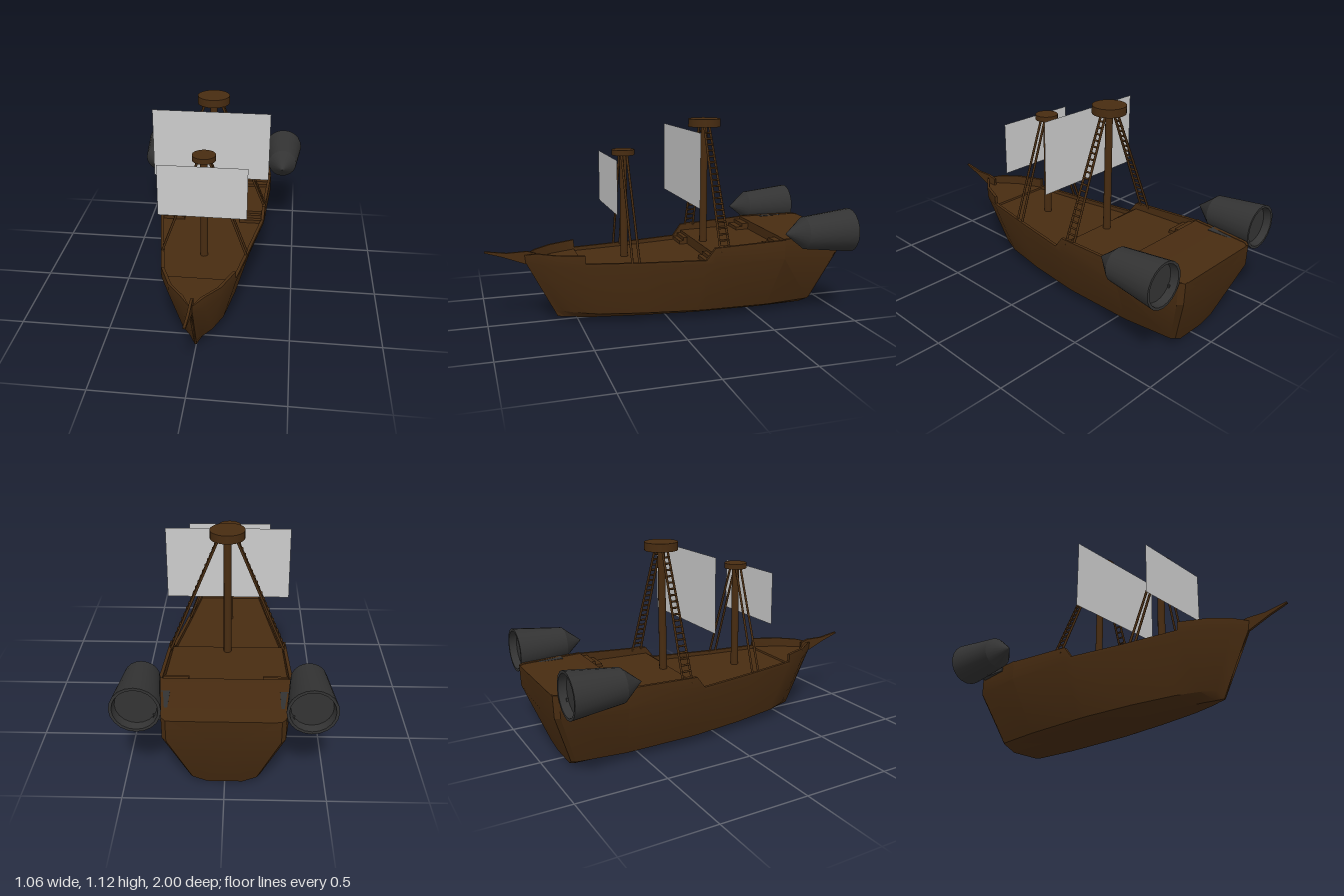
import * as THREE from 'three';
import { toCreasedNormals } from 'three/addons/utils/BufferGeometryUtils.js';

const wood = new THREE.MeshStandardMaterial({ color: 0x482c11 });
const metal = new THREE.MeshStandardMaterial({ color: 0x333333, side: THREE.DoubleSide });
const cloth = new THREE.MeshStandardMaterial({ color: 0xcccccc, side: THREE.DoubleSide });

function add(parent, name, geometry, material, x = 0, y = 0, z = 0) {
  const mesh = new THREE.Mesh(geometry, material);
  mesh.name = name;
  mesh.position.set(x, y, z);
  parent.add(mesh);
  return mesh;
}

// Thin round bar between two points
function bar(parent, name, from, to, radius) {
  const a = new THREE.Vector3(...from), b = new THREE.Vector3(...to);
  const dir = b.clone().sub(a);
  const mesh = add(parent, name, new THREE.CylinderGeometry(radius, radius, dir.length(), 6), wood);
  mesh.position.copy(a).add(b).multiplyScalar(0.5);
  mesh.quaternion.setFromUnitVectors(new THREE.Vector3(0, 1, 0), dir.normalize());
}

// Hull stations: z at rail, z at keel, half widths (rail, bilge, keel), keel y, rail y, deck y
const stations = [
  [-1.0, -0.87, 0.27, 0.16, 0.09, 0.003, 0.47, 0.467],
  [-0.975, -0.85, 0.292, 0.175, 0.1, 0.002, 0.47, 0.467],
  [-0.63, -0.58, 0.34, 0.205, 0.11, 0, 0.462, 0.459],
  [-0.63, -0.58, 0.34, 0.205, 0.11, 0, 0.458, 0.405],
  [-0.22, -0.2, 0.32, 0.207, 0.11, 0.004, 0.437, 0.4],
  [-0.22, -0.2, 0.32, 0.207, 0.11, 0.004, 0.437, 0.345],
  [-0.17, -0.15, 0.316, 0.205, 0.11, 0.005, 0.37, 0.345],
  [0.16, 0.14, 0.257, 0.175, 0.09, 0.01, 0.367, 0.345],
  [0.48, 0.38, 0.2, 0.13, 0.06, 0.014, 0.37, 0.35],
  [0.48, 0.38, 0.2, 0.13, 0.06, 0.014, 0.415, 0.36],
  [0.63, 0.5, 0.137, 0.08, 0.035, 0.018, 0.412, 0.36],
  [0.72, 0.56, 0.063, 0.035, 0.016, 0.02, 0.41, 0.36],
  [0.785, 0.6, 0.008, 0.006, 0.005, 0.022, 0.395, 0.36],
];

function hullGeometry() {
  const pos = [], idx = [], n = 12;
  for (const [zTop, zBot, w, bilge, keel, keelY, rail, deck] of stations) {
    const inner = Math.max(w - 0.018, w * 0.5);
    const half = [[inner, deck], [inner, rail], [w, rail], [w, 0.35], [bilge, keelY + 0.042], [keel, keelY]];
    const ring = [...half, ...half.map(([x, y]) => [-x, y]).reverse()];
    for (const [x, y] of ring) pos.push(x, y, THREE.MathUtils.lerp(zBot, zTop, Math.min(1, y / 0.36)));
  }
  for (let i = 0; i < stations.length - 1; i++) {
    for (let j = 0; j < n; j++) {
      const a = i * n + j, b = i * n + (j + 1) % n, c = a + n, d = b + n;
      idx.push(a, c, b, b, c, d);
    }
  }
  // Transom and stem caps, fanned from a middle point
  const last = (stations.length - 1) * n, mid = pos.length / 3;
  pos.push(0, 0.3, -0.98, 0, 0.2, 0.692);
  for (let j = 0; j < n; j++) {
    const k = (j + 1) % n;
    idx.push(mid, j, k, mid + 1, last + k, last + j);
  }
  const geo = new THREE.BufferGeometry();
  geo.setAttribute('position', new THREE.Float32BufferAttribute(pos, 3));
  geo.setIndex(idx);
  return toCreasedNormals(geo, 0.45);
}

// Mast with its round top platform and a flat sail held in front of it
function rig(parent, name, m) {
  const g = new THREE.Group();
  g.name = name;
  parent.add(g);
  add(g, 'mast', new THREE.CylinderGeometry(0.02, 0.022, m.top - 0.34, 12), wood, 0, (m.top + 0.34) / 2, m.z);
  add(g, 'lookout', new THREE.CylinderGeometry(m.nest, m.nest, m.nestH, 24), wood, 0, m.top + m.nestH / 2, m.z);
  add(g, 'sail', new THREE.PlaneGeometry(m.sailW * 2, m.sailTop - m.sailLow), cloth, 0, (m.sailTop + m.sailLow) / 2, m.sailZ);
  for (const s of [1, -1]) {
    const ends = m.feet.map((z, i) => [[s * m.footX, m.footY, z], [s * m.headX, m.top, m.z + (i ? -0.015 : 0.015)]]);
    for (const [foot, head] of ends) bar(g, 'shroud', foot, head, 0.007);
    // Ladder rungs across the pair of shrouds
    for (let i = 1; i <= m.rungs; i++) {
      const t = i / (m.rungs + 1);
      const [p, q] = ends.map(([f, h]) => f.map((v, k) => v + (h[k] - v) * t));
      p[0] += s * 0.005;
      q[0] += s * 0.005;
      bar(g, 'rung', p, q, 0.006);
    }
  }
}

export function createModel() {
  const ship = new THREE.Group();
  ship.name = 'ship';
  add(ship, 'hull', hullGeometry(), wood);

  // Bowsprit: tapered blade
  const blade = new THREE.Shape([[0.72, 0.34], [0.785, 0.345], [0.9, 0.39], [1, 0.422], [1, 0.43], [0.88, 0.412], [0.77, 0.415], [0.72, 0.40]]
    .map(([x, y]) => new THREE.Vector2(x, y)));
  const sprit = new THREE.ExtrudeGeometry(blade, { depth: 0.014, bevelEnabled: false });
  sprit.rotateY(-Math.PI / 2).translate(0.007, 0, 0);
  add(ship, 'bowsprit', sprit, wood);

  rig(ship, 'mainRig', {
    z: -0.26, top: 1.075, nest: 0.092, nestH: 0.045, sailW: 0.335, sailLow: 0.665, sailTop: 1.07, sailZ: -0.12,
    feet: [-0.25, -0.305], footX: 0.318, footY: 0.41, headX: 0.045, rungs: 20,
  });
  rig(ship, 'foreRig', {
    z: 0.22, top: 0.93, nest: 0.064, nestH: 0.03, sailW: 0.24, sailLow: 0.635, sailTop: 0.93, sailZ: 0.31,
    feet: [0.23, 0.19], footX: 0.238, footY: 0.36, headX: 0.03, rungs: 0,
  });

  // Engine: cone nose, flared body, recessed exhaust
  const profile = [[0, 0.39], [0.09, 0.28], [0.122, 0], [0.108, 0], [0.1, 0.04], [0, 0.04]]
    .map(([r, h]) => new THREE.Vector2(r, h)).reverse();
  const engine = toCreasedNormals(new THREE.LatheGeometry(profile, 20).rotateX(Math.PI / 2), 0.5);

  for (const s of [1, -1]) {
    add(ship, 'engine', engine, metal, s * 0.41, 0.512, -0.98);
    add(ship, 'engineBracket', new THREE.BoxGeometry(0.06, 0.03, 0.2), metal, s * 0.3, 0.45, -0.85);
    // Steps up to the middle and aft decks
    for (let i = 0; i < 2; i++) {
      const h = 0.02 * (i + 1);
      add(ship, 'aftStep', new THREE.BoxGeometry(0.13, h, 0.04), wood, s * 0.255, 0.403 + h / 2, -0.57 - i * 0.04);
      add(ship, 'middleStep', new THREE.BoxGeometry(0.13, h, 0.025), wood, s * 0.233, 0.345 + h / 2, -0.183 - i * 0.025);
    }
  }
  return ship;
}
